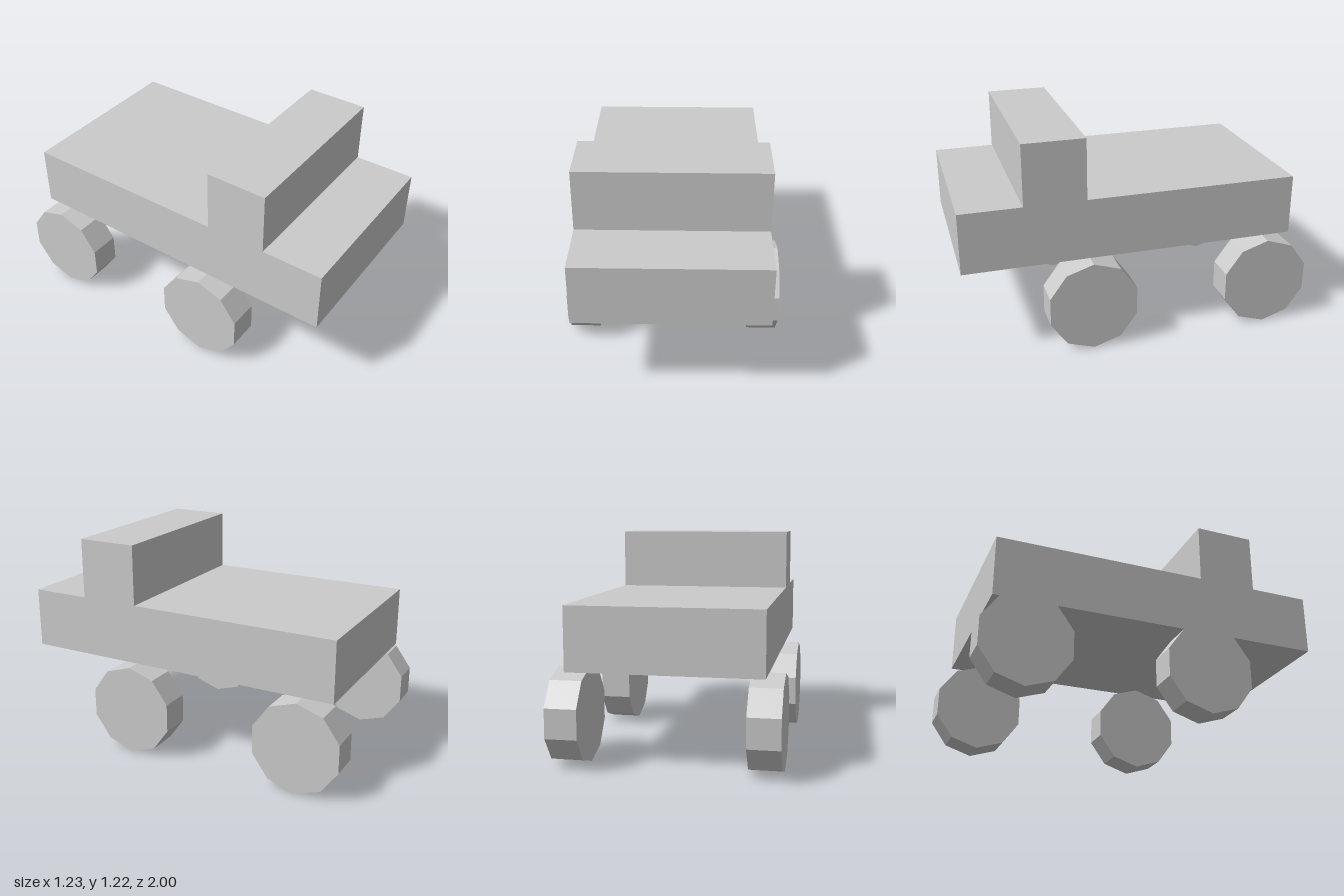
import * as THREE from 'three';

export function createModel() {
  const model = new THREE.Group();
  const material = new THREE.MeshStandardMaterial({ color: 0xcccccc, flatShading: true });

  // Body: side profile (z, y) with the raised cab, extruded across the width
  const width = 1.05;
  const profile = [
    [-0.925, 0.522], [1, 0.522], [1, 0.872], [0.65, 0.872],
    [0.65, 1.222], [0.3, 1.222], [0.3, 0.872], [-0.925, 0.872],
  ];
  const shape = new THREE.Shape(profile.map(([z, y]) => new THREE.Vector2(z, y)));
  const bodyGeometry = new THREE.ExtrudeGeometry(shape, { depth: width, bevelEnabled: false });
  bodyGeometry.rotateY(-Math.PI / 2).translate(width / 2, 0, 0);
  const body = new THREE.Mesh(bodyGeometry, material);
  body.name = 'body';
  model.add(body);

  // Wheels: ten-sided discs with a corner pointing straight down
  const radius = 0.2625;
  const wheelGeometry = new THREE.CylinderGeometry(radius, radius, 0.175, 10, 1, false, Math.PI / 2);
  wheelGeometry.rotateZ(Math.PI / 2);
  for (const [axle, z] of [['front', 0.29], ['rear', -0.75]]) {
    for (const [side, sign] of [['Left', 1], ['Right', -1]]) {
      const wheel = new THREE.Mesh(wheelGeometry, material);
      wheel.name = `${axle}${side}Wheel`;
      wheel.position.set(sign * 0.525, radius, z);
      model.add(wheel);
    }
  }
  return model;
}
